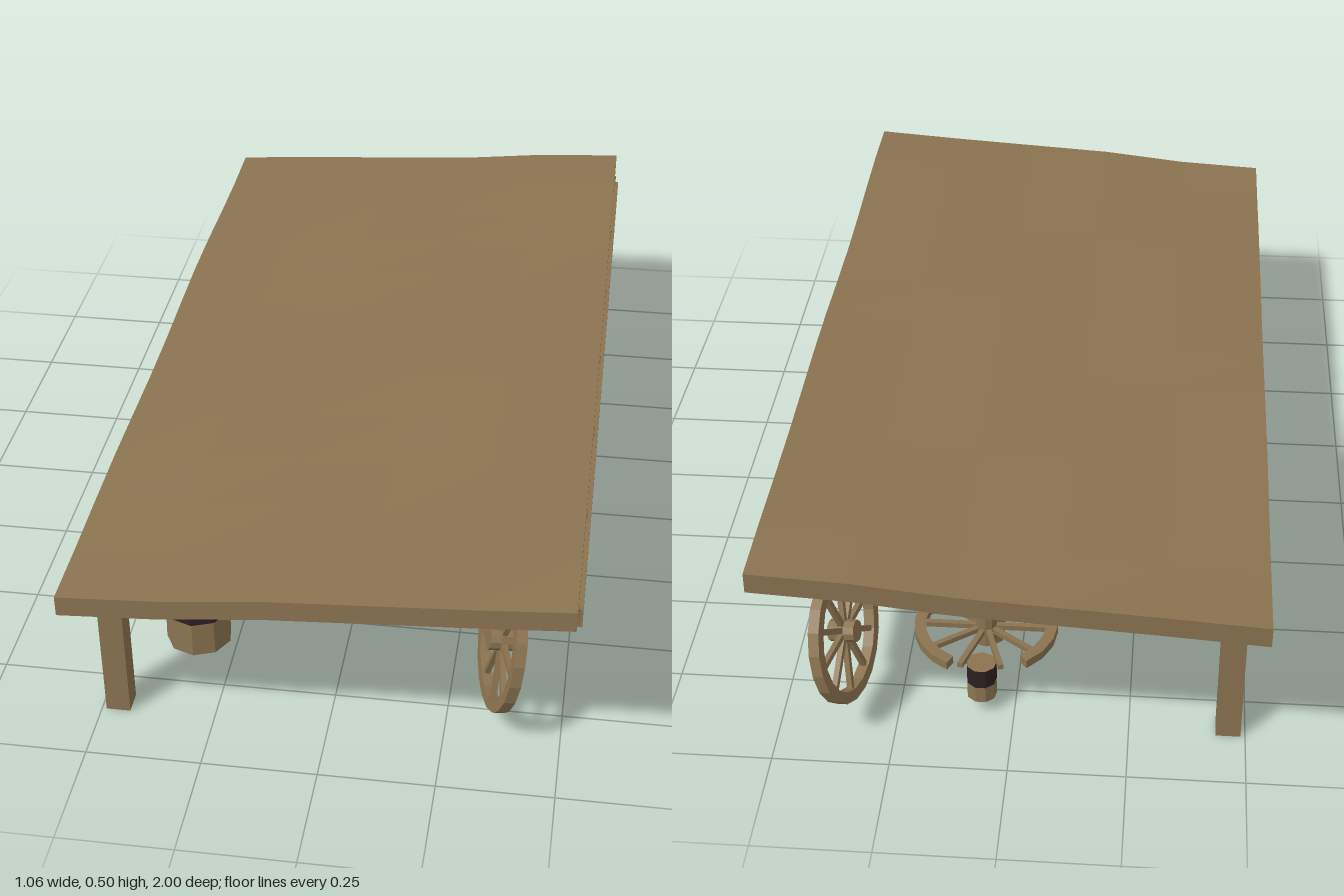
import * as THREE from 'three';

const wood = new THREE.MeshStandardMaterial({ color: 0x8b7350, flatShading: true });
wood.name = 'wood';
const bark = new THREE.MeshStandardMaterial({ color: 0x2b2022, flatShading: true });
bark.name = 'dark bark';

function add(parent, name, geo, mat = wood, x = 0, y = 0, z = 0) {
  const m = new THREE.Mesh(geo, mat);
  m.name = name;
  m.position.set(x, y, z);
  parent.add(m);
  return m;
}

// Box given by its limits on each axis
function block(parent, name, x0, x1, y0, y1, z0, z1, mat = wood) {
  return add(parent, name, new THREE.BoxGeometry(x1 - x0, y1 - y0, z1 - z0), mat,
    (x0 + x1) / 2, (y0 + y1) / 2, (z0 + z1) / 2);
}

// Square bar running from a to b
function bar(parent, name, a, b, w, d = w, mat = wood) {
  const p = new THREE.Vector3(...a), q = new THREE.Vector3(...b);
  const m = add(parent, name, new THREE.BoxGeometry(w, p.distanceTo(q), d), mat);
  m.position.copy(p).add(q).multiplyScalar(0.5);
  m.quaternion.setFromUnitVectors(new THREE.Vector3(0, 1, 0), q.sub(p).normalize());
  return m;
}

// Curved rim section in the XY plane, centred on z = 0
function felloe(from, to, rOut, rIn, depth, steps) {
  const pts = [];
  for (let i = 0; i <= steps; i++) {
    const a = from + (to - from) * i / steps;
    pts.push(new THREE.Vector2(Math.cos(a) * rOut, Math.sin(a) * rOut));
  }
  for (let i = steps; i >= 0; i--) {
    const a = from + (to - from) * i / steps;
    pts.push(new THREE.Vector2(Math.cos(a) * rIn, Math.sin(a) * rIn));
  }
  const g = new THREE.ExtrudeGeometry(new THREE.Shape(pts), { depth, bevelEnabled: false });
  return g.translate(0, 0, -depth / 2);
}

// Wheel in the XY plane; arcs lists the rim sections present
function wheel(name, r, depth, arcs, hubLength) {
  const g = new THREE.Group();
  g.name = name;
  for (const [a, b, n] of arcs) add(g, 'wheelRim', felloe(a, b, r, r - 0.025, depth, n));
  const hub = new THREE.CylinderGeometry(0.024, 0.024, hubLength, 10).rotateX(Math.PI / 2);
  add(g, 'wheelHub', hub);
  for (let i = 0; i < 10; i++) {
    const a = i / 10 * Math.PI * 2, c = Math.cos(a), s = Math.sin(a);
    bar(g, 'wheelSpoke', [c * 0.02, s * 0.02, 0], [c * (r - 0.015), s * (r - 0.015), 0], 0.012);
  }
  return g;
}

// Log with wood below and dark bark above
function stump(parent, name, x, z, r, y0, yMid, y1) {
  const g = new THREE.Group();
  g.name = name;
  g.position.set(x, 0, z);
  parent.add(g);
  add(g, 'stumpBase', new THREE.CylinderGeometry(r * 0.98, r, yMid - y0, 9), wood, 0, (y0 + yMid) / 2);
  add(g, 'stumpBark', new THREE.CylinderGeometry(r, r, y1 - yMid, 9), [bark, wood, bark], 0, (yMid + y1) / 2);
}

export function createModel() {
  const model = new THREE.Group();
  model.name = 'wheelwrightShelter';
  let seed = 7;
  const rand = () => (seed = (seed * 16807) % 2147483647) / 2147483647;

  // Sloping, gently sagging roof
  const roof = new THREE.BoxGeometry(1.05, 0.046, 2, 5, 1, 12);
  const p = roof.attributes.position;
  for (let i = 0; i < p.count; i++) {
    const x = p.getX(i), z = p.getZ(i);
    const wave = 0.005 * Math.sin(z * 7 + x * 4) + 0.003 * Math.sin(x * 11 - z * 4);
    p.setY(i, p.getY(i) + 0.435 + x * 0.065 + wave);
    p.setX(i, x - 0.005);
  }
  roof.computeVertexNormals();
  add(model, 'roof', roof);

  // Rafters and long support beams
  for (let i = -3; i <= 3; i++) {
    bar(model, 'rafter', [-0.5, 0.386, i * 0.31], [0.523, 0.444, i * 0.31], 0.034, 0.026);
  }
  block(model, 'eaveBeam', 0.48, 0.53, 0.405, 0.45, -0.93, 0.93);
  block(model, 'postBeam', -0.498, -0.435, 0.338, 0.378, -0.93, 0.93);

  // Posts with diagonal braces
  for (const z of [-0.835, -0.28, 0.28, 0.835]) {
    block(model, 'post', -0.49, -0.437, 0, 0.345, z - 0.026, z + 0.026);
    bar(model, 'brace', [-0.45, 0.255, z], [-0.325, 0.388, z], 0.026);
  }

  // Two trestles carrying a squared timber
  for (const z of [-0.3, 0.3]) {
    const t = new THREE.Group();
    t.name = 'trestle';
    t.position.z = z;
    model.add(t);
    block(t, 'trestleTop', -0.21, 0.03, 0.247, 0.286, -0.022, 0.022);
    for (const sx of [-1, 1]) for (const sz of [-1, 1]) {
      bar(t, 'trestleLeg', [-0.09 + sx * 0.085, 0.255, sz * 0.015],
        [-0.09 + sx * 0.127, 0.03, sz * 0.095], 0.024);
    }
  }
  block(model, 'workTimber', -0.13, -0.05, 0.28, 0.356, -0.52, 0.48);

  // Lumber stack on bearers
  for (const z of [-0.38, 0.38]) block(model, 'bearer', 0.215, 0.437, 0.05, 0.086, z - 0.018, z + 0.018);
  [[0.235, 0], [0.3, 0], [0.36, 0], [0.268, 1], [0.327, 1]].forEach(([x, row], i) => {
    const y = 0.086 + row * 0.055, dz = (i % 3 - 1) * 0.006;
    block(model, 'stackedTimber', x, x + 0.053, y, y + 0.053, -0.492 + dz, 0.492 + dz);
  });

  // Two finished wheels leaning outward
  const full = [];
  for (let i = 0; i < 5; i++) full.push([i * Math.PI * 0.4, (i + 1) * Math.PI * 0.4, 4]);
  for (const [z, yaw] of [[0.755, 0.26], [-0.817, -0.2]]) {
    const w = wheel('leaningWheel', 0.156, 0.024, full, 0.06);
    w.rotation.y = Math.PI / 2;
    const holder = new THREE.Group();
    holder.name = 'leaningWheelHolder';
    holder.position.set(0.362, 0.207, z);
    holder.rotation.set(0, yaw, -0.18);
    holder.add(w);
    model.add(holder);
  }

  // Unfinished wheel lying on two blocks
  const flat = wheel('unfinishedWheel', 0.157, 0.02,
    [[-1.1, 0, 4], [0, 1.1, 4], [Math.PI - 0.9, Math.PI + 0.9, 6]], 0.08);
  flat.rotation.x = -Math.PI / 2;
  flat.position.set(0.07, 0.145, -0.705);
  model.add(flat);
  for (const z of [-0.61, -0.8]) stump(model, 'wheelBlock', 0.072, z, 0.033, 0.035, 0.075, 0.121);

  // Chopping block with axe
  stump(model, 'choppingBlock', -0.33, 0.628, 0.074, 0.035, 0.12, 0.205);
  block(model, 'axeHead', -0.341, -0.309, 0.175, 0.225, 0.585, 0.645, bark);
  bar(model, 'axeHandle', [-0.326, 0.212, 0.61], [-0.297, 0.325, 0.45], 0.016);

  // Scattered wood chips
  const chips = new THREE.Group();
  chips.name = 'woodChips';
  model.add(chips);
  for (let i = 0; i < 46; i++) {
    const c = add(chips, 'woodChip', new THREE.BoxGeometry(0.015 + rand() * 0.025, 0.004, 0.01 + rand() * 0.012),
      wood, -0.24 + rand() * 0.33, 0.053 + rand() * 0.005, -0.47 + rand() * 0.76);
    c.rotation.set((rand() - 0.5) * 0.15, rand() * Math.PI, (rand() - 0.5) * 0.15);
  }
  return model;
}
